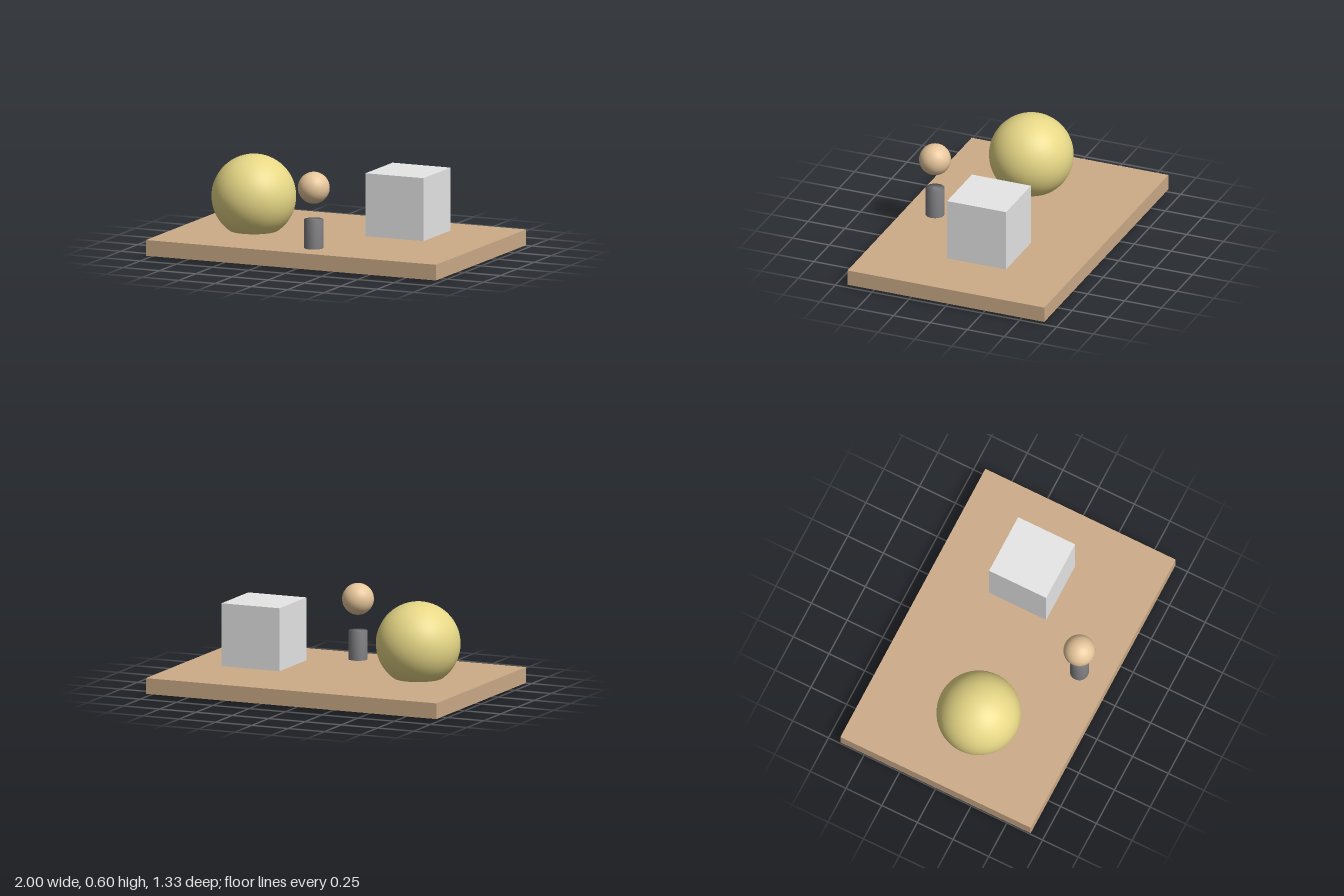
import * as THREE from 'three';
import { mergeVertices } from 'three/addons/utils/BufferGeometryUtils.js';

const material = (name, color) => {
  const m = new THREE.MeshStandardMaterial({ color });
  m.name = name;
  return m;
};

export function createModel() {
  const model = new THREE.Group();
  model.name = 'tabletopShapes';

  const wood = material('wood', 0xcdab88);
  const paleGrey = material('paleGrey', 0xf0f0f0);
  const khaki = material('khaki', 0xf0e08c);
  const peach = material('peach', 0xffdbac);
  const darkGrey = material('darkGrey', 0x808083);

  const add = (name, geometry, mat, x, y, z) => {
    const mesh = new THREE.Mesh(geometry, mat);
    mesh.name = name;
    mesh.position.set(x, y, z);
    model.add(mesh);
  };

  // Flat board
  add('board', new THREE.BoxGeometry(2, 0.1, 1.333), wood, 0, 0.069, 0);

  // Cube hovering just above the board
  add('cube', new THREE.BoxGeometry(0.4, 0.4, 0.4), paleGrey, 0.465, 0.353, -0.067);

  // Large ball sunk slightly into the board
  add('largeBall', new THREE.SphereGeometry(0.265, 48, 32), khaki, -0.535, 0.335, 0.067);

  // Small ball floating over the post
  add('smallBall', new THREE.SphereGeometry(0.1, 32, 24), peach, 0.065, 0.502, 0.467);

  // Post through the board, with normals smoothed over its rims
  let post = new THREE.CylinderGeometry(0.06, 0.06, 0.302, 32);
  post.deleteAttribute('normal');
  post.deleteAttribute('uv');
  post = mergeVertices(post);
  post.computeVertexNormals();
  add('post', post, darkGrey, 0.065, 0.151, 0.467);

  return model;
}
